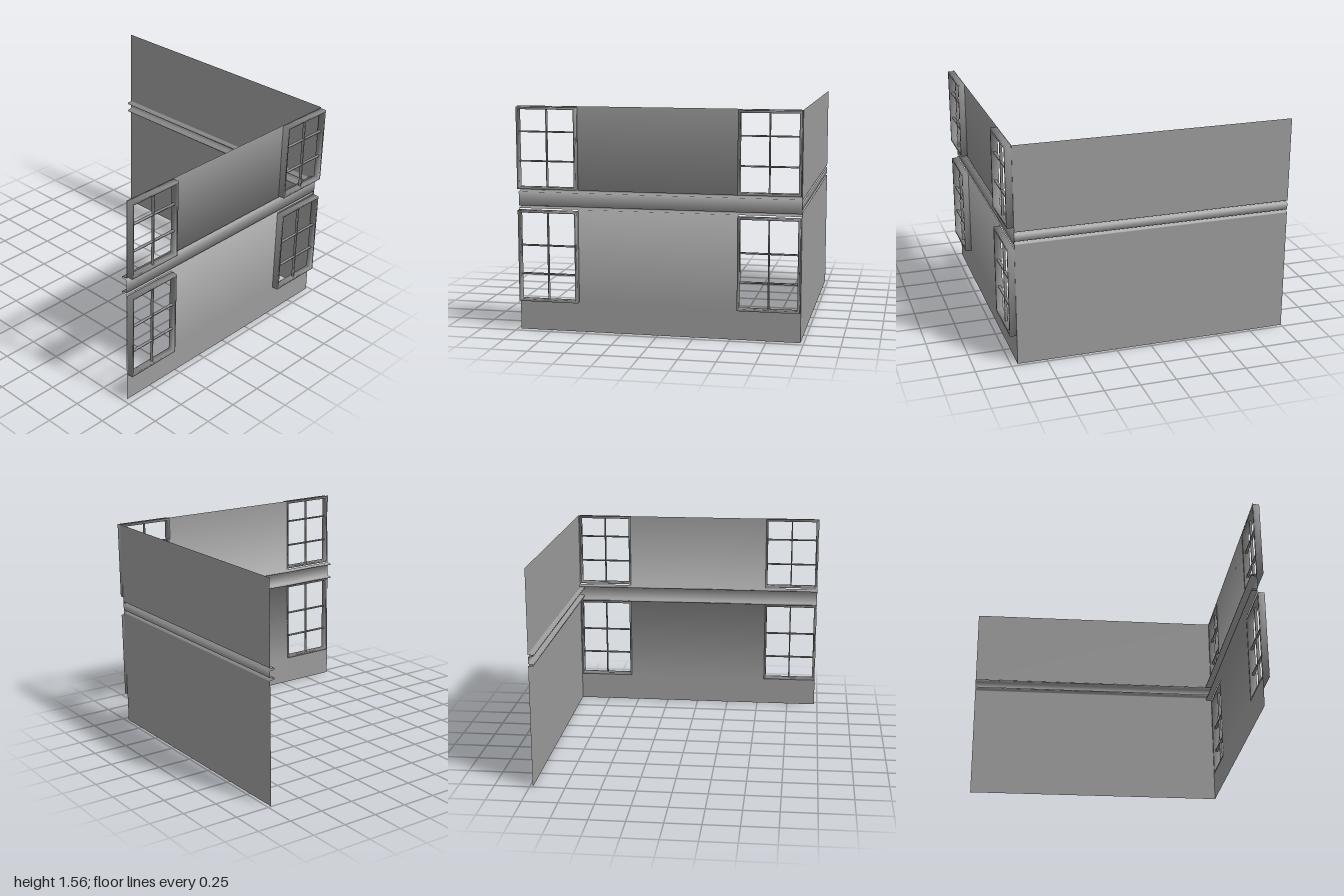
import * as THREE from 'three';
import { mergeVertices } from 'three/addons/utils/BufferGeometryUtils.js';

const HEIGHT = 1.56;
const SIDE_X = 0.953;
const wallGrey = new THREE.MeshStandardMaterial({ color: 0x9b9b9b, side: THREE.DoubleSide });
const windowGrey = new THREE.MeshStandardMaterial({ color: 0x8c8c8c });

// Hollow fin folded inward from the sheet, as [depth, y] points
const fin = (y0, y1, depth) => [[0, y0], [-depth, y0 + 0.004], [-depth, y1 - 0.004], [0, y1]];

// Smooth normal of each profile point: the mean direction of its two segments
function profileNormals(profile) {
  const segments = profile.slice(1).map(([d, y], i) =>
    new THREE.Vector2(y - profile[i][1], profile[i][0] - d).normalize());
  return profile.map((_, i) => {
    const before = segments[Math.max(i - 1, 0)];
    const after = segments[Math.min(i, segments.length - 1)];
    return before.clone().add(after).normalize();
  });
}

// Sheet swept along its length; isOpen(y, s) leaves out the window openings
function wallSheet(name, profile, stations, toPoint, isOpen) {
  const positions = [], normals = [], index = [];
  const n = stations.length;
  const slopes = profileNormals(profile);
  profile.forEach(([d, y], r) => stations.forEach((s) => {
    const point = toPoint(d, y, s);
    const tip = toPoint(d + slopes[r].x, y + slopes[r].y, s);
    positions.push(...point);
    normals.push(...tip.map((v, k) => v - point[k]));
  }));
  for (let r = 0; r < profile.length - 1; r++) {
    for (let c = 0; c < n - 1; c++) {
      const midY = (profile[r][1] + profile[r + 1][1]) / 2;
      const midS = (stations[c] + stations[c + 1]) / 2;
      if (isOpen(midY, midS)) continue;
      const a = r * n + c;
      index.push(a, a + 1, a + n, a + 1, a + n + 1, a + n);
    }
  }
  const geometry = new THREE.BufferGeometry();
  geometry.setAttribute('position', new THREE.Float32BufferAttribute(positions, 3));
  geometry.setAttribute('normal', new THREE.Float32BufferAttribute(normals, 3));
  geometry.setIndex(index);
  const mesh = new THREE.Mesh(geometry, wallGrey);
  mesh.name = name;
  return mesh;
}

// Mesh shaded smoothly across its corners
function softMesh(name, geometry) {
  geometry.deleteAttribute('normal');
  geometry.deleteAttribute('uv');
  const soft = mergeVertices(geometry, 1e-4);
  soft.computeVertexNormals();
  const mesh = new THREE.Mesh(soft, windowGrey);
  mesh.name = name;
  return mesh;
}

// Six-pane window facing +x, with a deep frame and thin glazing bars
function windowUnit(name, z0, z1, y0, y1, barHeights) {
  const group = new THREE.Group();
  group.name = name;
  const w = z1 - z0, h = y1 - y0;
  const border = 0.016, depth = 1 - SIDE_X, bar = 0.01, barDepth = 0.018;

  const shape = new THREE.Shape();
  shape.moveTo(-w / 2, -h / 2).lineTo(w / 2, -h / 2).lineTo(w / 2, h / 2).lineTo(-w / 2, h / 2).closePath();
  const hole = new THREE.Path();
  const iw = w / 2 - border, ih = h / 2 - border;
  hole.moveTo(-iw, -ih).lineTo(-iw, ih).lineTo(iw, ih).lineTo(iw, -ih).closePath();
  shape.holes.push(hole);
  const frame = new THREE.ExtrudeGeometry(shape, { depth, bevelEnabled: false });
  frame.translate(0, 0, -depth / 2).rotateY(Math.PI / 2);
  group.add(softMesh('windowFrame', frame));

  group.position.set(1 - depth / 2, (y0 + y1) / 2, (z0 + z1) / 2);
  group.add(softMesh('uprightBar', new THREE.BoxGeometry(barDepth, 2 * ih, bar)));
  for (const y of barHeights) {
    const cross = softMesh('crossBar', new THREE.BoxGeometry(barDepth, bar, 2 * iw));
    cross.position.y = y - group.position.y;
    group.add(cross);
  }
  return group;
}

export function createModel() {
  const model = new THREE.Group();
  model.name = 'wallCorner';

  // Plain back wall, flat right up to its two fins
  const backProfile = [[0, 0], [0, 0.872], ...fin(0.878, 0.897, 0.035),
    ...fin(0.944, 0.963, 0.035), [0, 0.969], [0, HEIGHT]];
  model.add(wallSheet('backWall', backProfile, [SIDE_X, -1],
    (d, y, s) => [s, y, -0.977 - d], () => false));

  // Side wall with four window openings, shaded softly into its fins
  const sideProfile = [[0, 0], [0, 0.21], ...fin(0.854, 0.872, 0.042),
    ...fin(0.968, 0.986, 0.042), [0, 1.555], [0, HEIGHT]];
  const inOpening = (y, z) =>
    Math.abs(z) > 0.553 && Math.abs(z) < 0.97 && ((y > 0.21 && y < 0.854) || (y > 0.986 && y < 1.555));
  model.add(wallSheet('sideWall', sideProfile, [0.975, 0.971, 0.553, -0.553, -0.971, -0.977],
    (d, y, s) => [SIDE_X + d, y, s], inOpening));

  // Windows stand proud of the side wall
  for (const [end, z0, z1] of [['front', 0.552, 0.969], ['back', -0.973, -0.552]]) {
    model.add(windowUnit(end + 'LowerWindow', z0, z1, 0.21, 0.846, [0.403, 0.602]));
    model.add(windowUnit(end + 'UpperWindow', z0, z1, 0.993, 1.554, [1.185, 1.386]));
  }
  return model;
}
